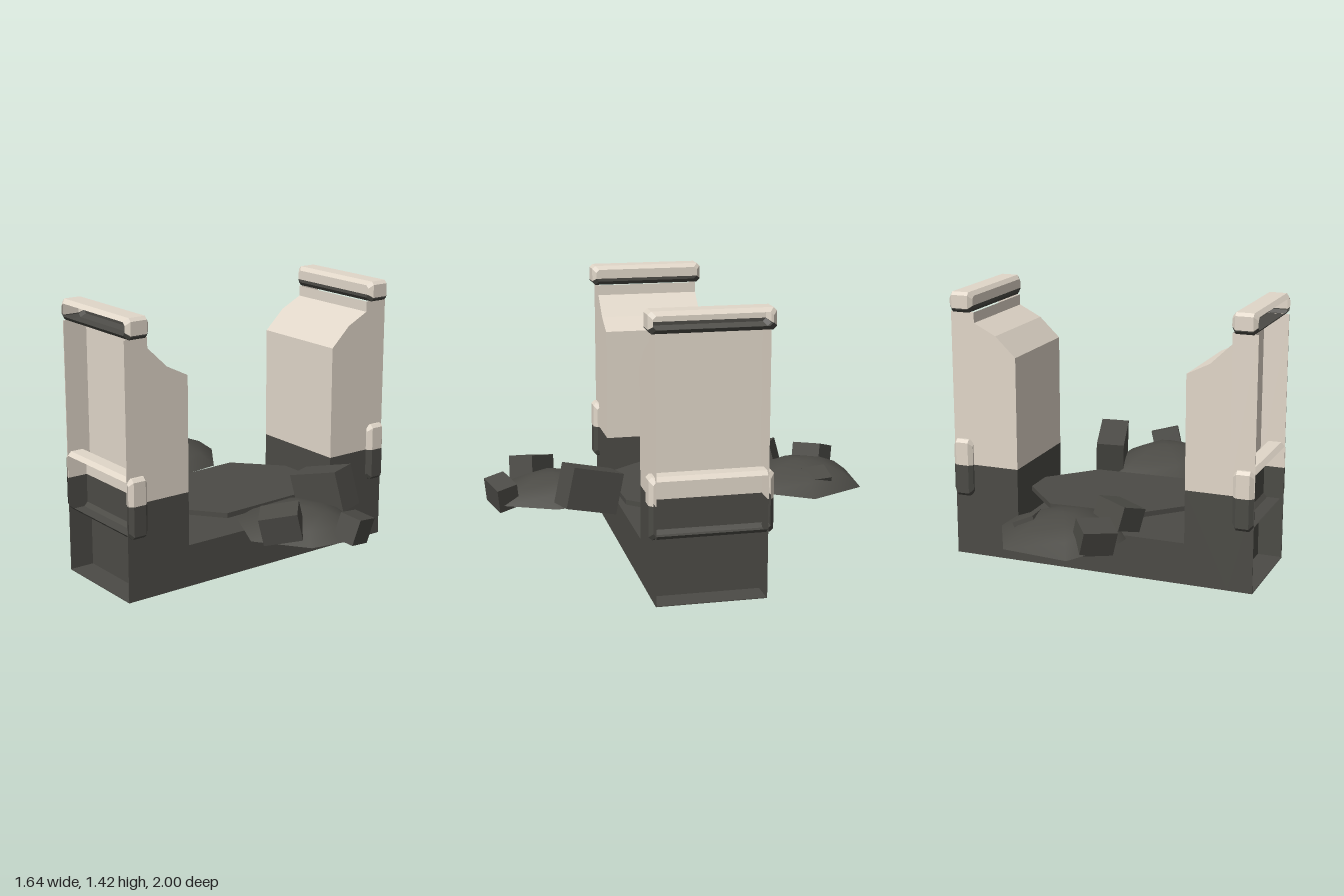
import * as THREE from 'three';

const dark = new THREE.MeshStandardMaterial({ color: 0x4c4b46, side: THREE.DoubleSide });
dark.name = 'darkStone';
const cream = new THREE.MeshStandardMaterial({ color: 0xe1d7c9, side: THREE.DoubleSide });
cream.name = 'paleStone';

const Z0 = -0.28, Z1 = 0.27, ZC = -0.005;
const SPLIT = 0.5, INNER = 0.69, OUTER = 0.82;

function add(parent, name, geometry, material, x = 0, y = 0, z = 0) {
  const mesh = new THREE.Mesh(geometry, material);
  mesh.name = name;
  mesh.position.set(x, y, z);
  parent.add(mesh);
  return mesh;
}

// Extrude an x/y outline through the wall's depth
function slab(points, depth = Z1 - Z0) {
  const shape = new THREE.Shape(points.map(([x, y]) => new THREE.Vector2(x, y)));
  return new THREE.ExtrudeGeometry(shape, { depth, bevelEnabled: false });
}

// Bevelled bar lying along z, open on its outer face, pale above the split and dark below
function openBar(side, x0, y0, y1, half, split) {
  const b = 0.016, c = 0.02;
  const ring = (x, inset) => {
    const Y0 = y0 + inset, Y1 = y1 - inset, H = half - inset;
    const s = Math.min(Math.max(split, Y0 + b), Y1 - b);
    return [[Y1, b - H], [Y1, H - b], [Y1 - b, H], [s, H], [Y0 + b, H], [Y0, H - b],
      [Y0, b - H], [Y0 + b, -H], [s, -H], [Y1 - b, -H]].map(([y, z]) => [side * x, y, z + ZC]);
  };
  const rings = [ring(x0, c), ring(x0 + c, 0), ring(OUTER - c, 0), ring(OUTER, c)];
  const parts = [[], []];
  const tri = (k, p, q, r) => parts[k].push(...(side > 0 ? [p, q, r] : [p, r, q]).flat());
  const centre = [side * x0, rings[0][3][1], ZC];
  for (let j = 0; j < 10; j++) {
    const n = (j + 1) % 10, k = j >= 3 && j <= 7 ? 1 : 0;
    tri(k, centre, rings[0][n], rings[0][j]);
    for (let i = 0; i < 3; i++) {
      tri(k, rings[i][j], rings[i][n], rings[i + 1][n]);
      tri(k, rings[i][j], rings[i + 1][n], rings[i + 1][j]);
    }
  }
  const g = new THREE.BufferGeometry();
  g.setAttribute('position', new THREE.Float32BufferAttribute(parts.flat(), 3));
  g.addGroup(0, parts[0].length / 3, 0);
  g.addGroup(parts[0].length / 3, parts[1].length / 3, 1);
  g.computeVertexNormals();
  return g;
}

// Low smooth heap with an irregular rim, hollow underneath
function heap(rim, cx, cz, base, height) {
  const levels = [[1, 0], [0.75, 0.5], [0.45, 0.83], [0.2, 0.97], [0, 1]];
  const pos = [], index = [], n = rim.length;
  for (const [s, h] of levels)
    for (const [x, z] of rim) pos.push(cx + (x - cx) * s, base + height * h, cz + (z - cz) * s);
  for (let i = 0; i < levels.length - 1; i++)
    for (let j = 0; j < n; j++) {
      const k = (j + 1) % n, o = i * n, p = o + n;
      index.push(o + j, p + j, o + k);
      if (i < levels.length - 2) index.push(p + j, p + k, o + k);
    }
  const g = new THREE.BufferGeometry();
  g.setAttribute('position', new THREE.Float32BufferAttribute(pos, 3));
  g.setIndex(index);
  g.computeVertexNormals();
  return g;
}

function rock(parent, name, p, size, rot) {
  add(parent, name, new THREE.BoxGeometry(...size), dark, ...p).rotation.set(...rot, 'YXZ');
}

export function createModel() {
  const model = new THREE.Group();
  model.name = 'brokenWall';

  // Dark foundation with the lower part of both pillars
  add(model, 'foundation', slab([[-INNER, 0], [INNER, 0], [INNER, SPLIT], [0.46, SPLIT], [0.46, 0.22],
    [-0.46, 0.22], [-0.46, SPLIT], [-INNER, SPLIT]]), dark, 0, 0, Z0);

  // Pale pillars, each with its own broken shoulder
  for (const [side, sx, sy] of [[1, 0.57, 1.2], [-1, 0.58, 1.155]]) {
    const pillar = new THREE.Group();
    pillar.name = side > 0 ? 'leftPillar' : 'rightPillar';
    model.add(pillar);
    add(pillar, 'pillarBlock', slab([[0.46, SPLIT], [INNER, SPLIT], [INNER, 1.26], [sx, sy], [0.46, 1.095]]
      .map(([x, y]) => [side * x, y])), cream, 0, 0, Z0);

    // Thin cheeks and floor around the open outer recess
    const t = 0.004, w = OUTER - INNER, x = side * (INNER + w / 2);
    for (const z of [Z0 + t / 2, Z1 - t / 2]) {
      add(pillar, 'lowerCheek', new THREE.BoxGeometry(w, SPLIT, t), dark, x, SPLIT / 2, z);
      add(pillar, 'upperCheek', new THREE.BoxGeometry(w, 1.315 - SPLIT, t), cream, x, (1.315 + SPLIT) / 2, z);
    }
    add(pillar, 'recessFloor', new THREE.BoxGeometry(w, t, Z1 - Z0), dark, x, t / 2, ZC);
    add(pillar, 'topLip', new THREE.PlaneGeometry(Z1 - Z0, 0.055), cream, side * INNER, 1.2875, ZC)
      .rotation.y = -side * Math.PI / 2;

    // Coping on top and the two-tone band lower down
    add(pillar, 'coping', openBar(side, INNER, 1.315, 1.42, 0.305, 1.336), [cream, dark]);
    add(pillar, 'band', openBar(side, 0.712, 0.33, 0.638, 0.305, SPLIT), [cream, dark]);
  }

  // Thin eight-sided slab bridging the gap
  const deck = slab([[-0.22, 0.31], [0.25, 0.335], [0.465, 0.1], [0.465, -0.06], [0.24, -0.3],
    [-0.26, -0.32], [-0.465, -0.06], [-0.465, 0.06]], 0.026);
  deck.rotateX(-Math.PI / 2);
  add(model, 'deck', deck, dark, 0, 0.334, 0);

  // Rubble heaps with loose blocks
  const back = new THREE.Group();
  back.name = 'backRubble';
  model.add(back);
  add(back, 'heap', heap([[-0.13, -1], [0.21, -0.965], [0.365, -0.665], [0.19, -0.405], [-0.11, -0.365],
    [-0.28, -0.62], [-0.26, -0.76]], 0.02, -0.68, 0.335, 0.125), dark);
  rock(back, 'block', [-0.2, 0.405, -0.825], [0.17, 0.13, 0.13], [-0.3, 0.7, 0.1]);
  rock(back, 'block', [-0.21, 0.43, -0.54], [0.19, 0.12, 0.15], [0.28, -0.42, 0.1]);
  rock(back, 'buriedBlock', [0.18, 0.385, -0.725], [0.11, 0.09, 0.13], [0.05, 0.1, -0.4]);

  const front = new THREE.Group();
  front.name = 'frontRubble';
  model.add(front);
  add(front, 'heap', heap([[-0.22, 0.345], [0.12, 0.32], [0.21, 0.5], [0.25, 0.65], [0.13, 0.91], [0, 0.93],
    [-0.19, 0.895], [-0.365, 0.65]], -0.04, 0.63, 0.335, 0.115), dark);
  rock(front, 'largeBlock', [0.235, 0.432, 0.488], [0.15, 0.21, 0.28], [-0.25, 0.27, 0.05]);
  rock(front, 'block', [-0.235, 0.42, 0.72], [0.15, 0.14, 0.19], [-0.2, 0.8, 0.15]);
  rock(front, 'block', [0.06, 0.388, 0.91], [0.155, 0.13, 0.11], [0.2, 0.32, -0.22]);

  return model;
}
